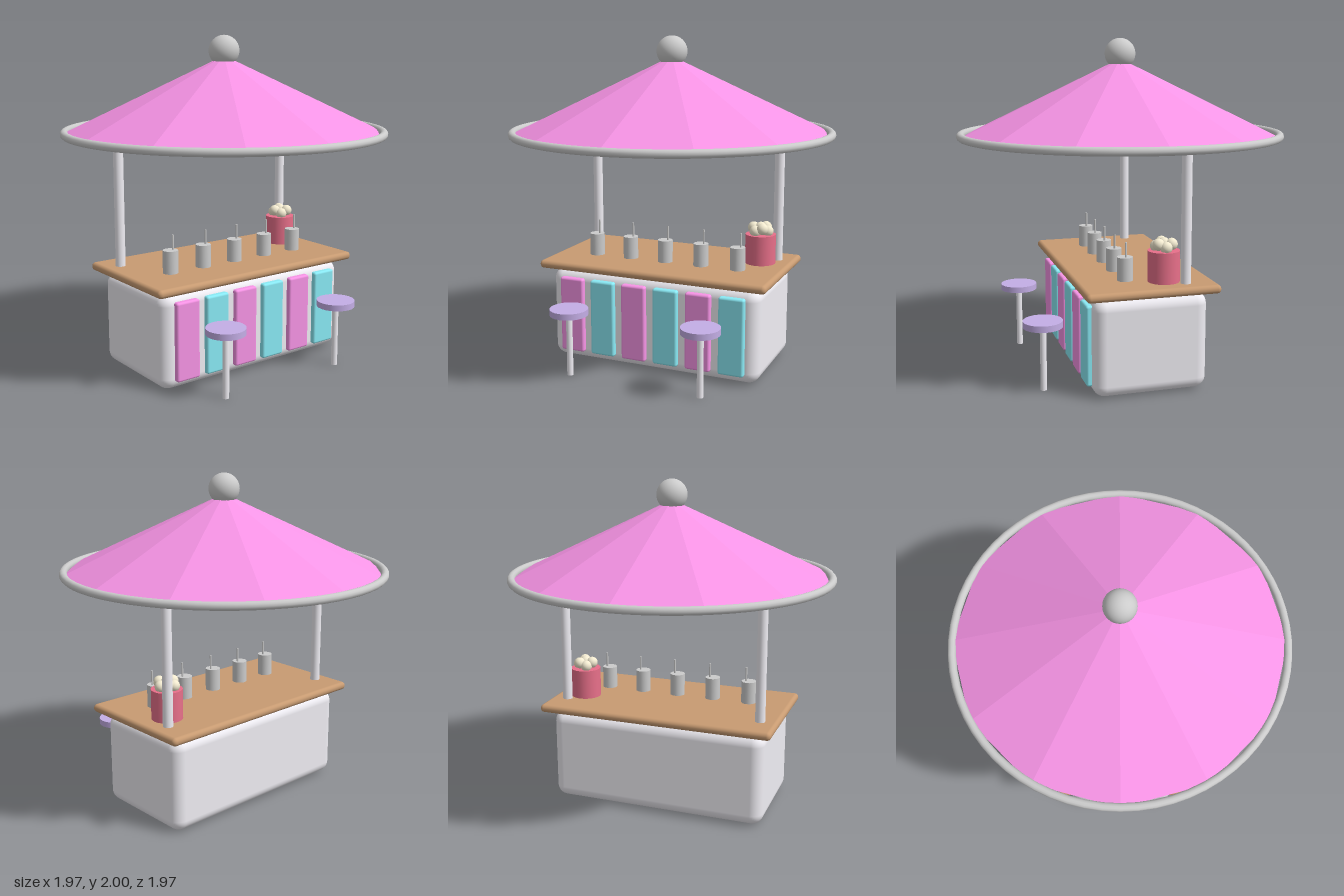
import * as THREE from 'three';
import { RoundedBoxGeometry } from 'three/addons/geometries/RoundedBoxGeometry.js';

const mat = (color, flatShading = false) => new THREE.MeshStandardMaterial({ color, flatShading });

const grey = mat(0xcccccc);
const white = mat(0xf0eef4);
const pink = mat(0xf794e6);
const cyan = mat(0x8aeaf5);
const canopyPink = mat(0xf794e6, true);
const wood = mat(0xc89b72);
const lilac = mat(0xc4aee6);
const red = mat(0xe8708a);
const cream = mat(0xf2ead0);

export function createModel() {
  const model = new THREE.Group();

  const add = (name, geometry, material, x, y, z, parent = model) => {
    const mesh = new THREE.Mesh(geometry, material);
    mesh.name = name;
    mesh.position.set(x, y, z);
    parent.add(mesh);
    return mesh;
  };
  const group = (name) => {
    const g = new THREE.Group();
    g.name = name;
    model.add(g);
    return g;
  };
  // Upright cylinder given by its bottom and top heights
  const post = (name, r, y0, y1, material, x, z, parent, sides = 24) =>
    add(name, new THREE.CylinderGeometry(r, r, y1 - y0, sides), material, x, (y0 + y1) / 2, z, parent);

  // Counter and worktop
  add('counterBody', new RoundedBoxGeometry(1.35, 0.57, 0.67, 5, 0.07), white, 0, 0.29, 0);
  add('counterTop', new RoundedBoxGeometry(1.46, 0.05, 0.78, 4, 0.024), wood, 0, 0.605, 0);

  // Alternating front panels
  const panels = group('frontPanels');
  for (let i = 0; i < 6; i++) {
    add('frontPanel', new RoundedBoxGeometry(0.158, 0.47, 0.05, 3, 0.014),
      i % 2 ? cyan : pink, (i - 2.5) * 0.208, 0.295, 0.34, panels);
  }

  // Two stools in front
  for (const side of [-1, 1]) {
    const stool = group(side > 0 ? 'leftStool' : 'rightStool');
    post('stoolLeg', 0.019, 0, 0.385, white, side * 0.418, 0.575, stool, 16);
    post('stoolSeat', 0.115, 0.378, 0.415, lilac, side * 0.418, 0.575, stool);
  }

  // Poles behind the counter
  for (const side of [-1, 1]) post('canopyPole', 0.03, 0.6, 1.43, white, side * 0.625, -0.208);

  // Canopy with rim and ball finial
  add('canopy', new THREE.ConeGeometry(0.965, 0.455, 12), canopyPink, 0, 1.65, 0);
  const rim = add('canopyRim', new THREE.TorusGeometry(0.963, 0.024, 12, 64), grey, 0, 1.423, 0);
  rim.rotation.x = Math.PI / 2;
  add('finial', new THREE.SphereGeometry(0.093, 32, 20), grey, 0, 1.907, 0);

  // Row of cups with straws
  const cups = group('cups');
  for (let i = -2; i <= 2; i++) {
    post('cup', 0.046, 0.625, 0.767, grey, i * 0.235, 0.105, cups, 20);
    post('straw', 0.006, 0.7, 0.855, grey, i * 0.235 + 0.018, 0.105, cups, 8);
  }

  // Bucket heaped with popcorn
  const bucket = group('popcornBucket');
  const [bx, bz] = [0.545, -0.103];
  post('bucket', 0.093, 0.625, 0.81, red, bx, bz, bucket);
  const kernel = new THREE.SphereGeometry(0.035, 16, 12);
  for (let i = 0; i < 6; i++) {
    const a = (i / 6) * Math.PI * 2;
    add('popcorn', kernel, cream, bx + 0.045 * Math.cos(a), i % 2 ? 0.848 : 0.832, bz + 0.045 * Math.sin(a), bucket);
  }
  add('popcorn', kernel, cream, bx, 0.85, bz, bucket);

  return model;
}
